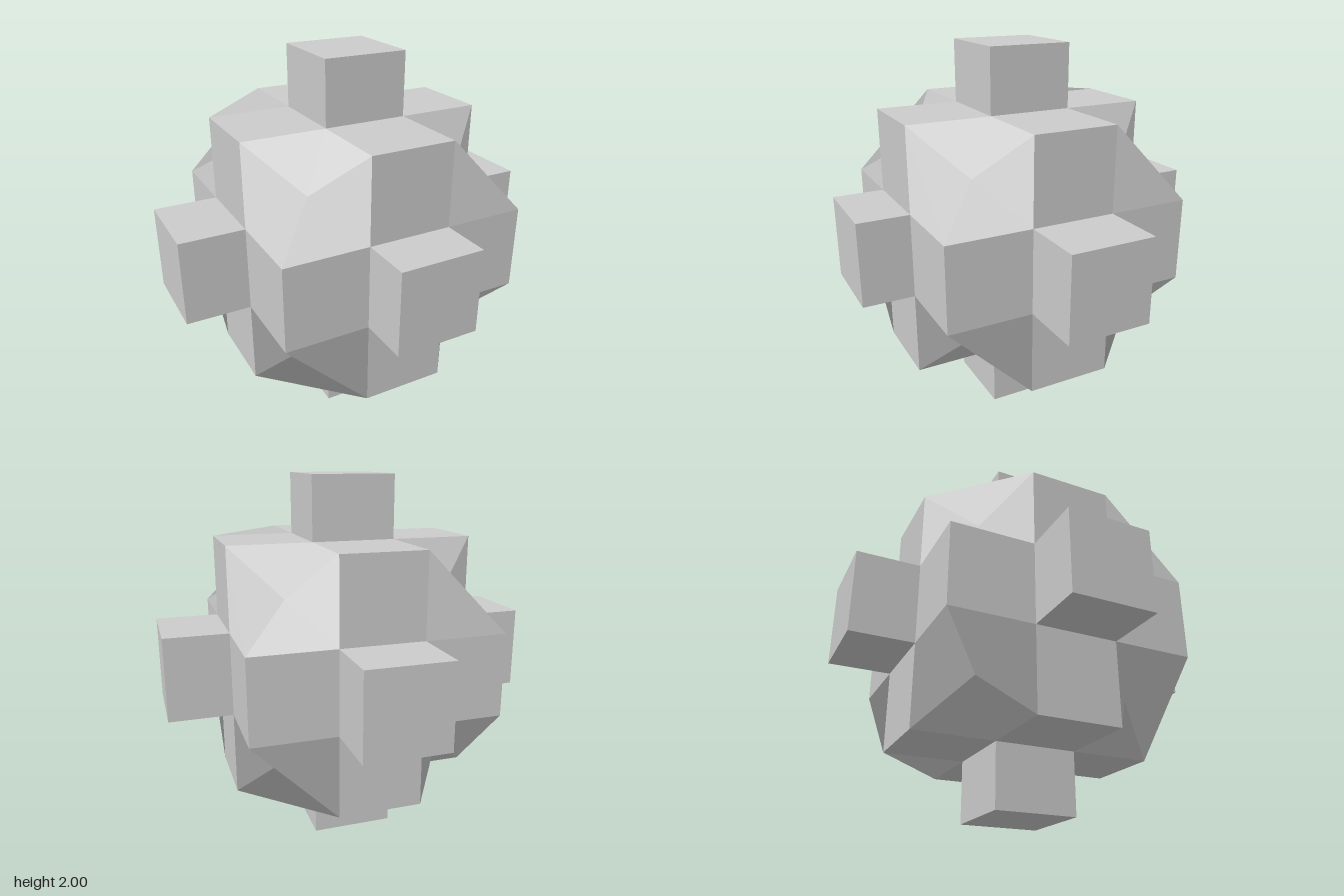
import * as THREE from 'three';

const h = 0.222;            // half width of one cell
const H = 0.665;            // half width of the 3 x 3 x 3 body
const DENT = h + 0.45 * (H - h); // height of each corner's sunken tip
const CENTRE = new THREE.Vector3(0, 1, 0.033);
const material = new THREE.MeshStandardMaterial({ color: 0xcccccc });

function mesh(name, geometry) {
  const m = new THREE.Mesh(geometry, material);
  m.name = name;
  return m;
}

// Plus-shaped face of the body
function crossPanel() {
  const pts = [];
  for (let i = 0; i < 4; i++) {
    for (const [x, y] of [[H, -h], [H, h], [h, h]]) {
      pts.push(new THREE.Vector2(x, y).rotateAround(new THREE.Vector2(), i * Math.PI / 2));
    }
  }
  return new THREE.ShapeGeometry(new THREE.Shape(pts)).translate(0, 0, H);
}

// One side: plus-shaped panel with a square arm standing on it
function side(name, dir, armLength) {
  const g = new THREE.Group();
  g.name = name + 'Side';
  const arm = new THREE.BoxGeometry(2 * h, 2 * h, armLength).translate(0, 0, H + armLength / 2);
  g.add(mesh(name + 'Panel', crossPanel()), mesh(name + 'Arm', arm));
  g.quaternion.setFromUnitVectors(new THREE.Vector3(0, 0, 1), new THREE.Vector3(...dir));
  return g;
}

// Dented corner: three bent four-sided faces meeting at a sunken tip,
// each shaded evenly with one normal
function cornerGeometry(signs) {
  const parity = signs[0] * signs[1] * signs[2];
  const pos = [], nor = [];
  const at = (axis, b, c) => {
    const p = [];
    p[axis] = H;
    p[(axis + 1) % 3] = b;
    p[(axis + 2) % 3] = c;
    return new THREE.Vector3(...p.map((v, i) => v * signs[i]));
  };
  const tip = new THREE.Vector3(...signs).multiplyScalar(DENT);
  for (let axis = 0; axis < 3; axis++) {
    const inner = at(axis, h, h), p = at(axis, H, h), q = at(axis, h, H);
    const n = tip.clone().sub(inner).cross(q.clone().sub(p)).multiplyScalar(parity).normalize();
    // the fold runs either across the face or from its inner corner to the tip
    const across = axis === 0 ? parity < 0 : parity > 0;
    const tris = across ? [[inner, p, q], [p, tip, q]] : [[inner, p, tip], [inner, tip, q]];
    for (const [a, b, c] of tris) {
      for (const v of parity > 0 ? [a, b, c] : [a, c, b]) {
        pos.push(v.x, v.y, v.z);
        nor.push(n.x, n.y, n.z);
      }
    }
  }
  const g = new THREE.BufferGeometry();
  g.setAttribute('position', new THREE.Float32BufferAttribute(pos, 3));
  g.setAttribute('normal', new THREE.Float32BufferAttribute(nor, 3));
  return g;
}

export function createModel() {
  const model = new THREE.Group();
  model.name = 'steppedCubeBall';
  const body = new THREE.Group();
  body.name = 'body';
  body.position.copy(CENTRE);
  model.add(body);

  // Six sides; the front arm is shorter
  body.add(
    side('left', [1, 0, 0], 0.335),
    side('right', [-1, 0, 0], 0.335),
    side('top', [0, 1, 0], 0.335),
    side('bottom', [0, -1, 0], 0.335),
    side('front', [0, 0, 1], 0.27),
    side('back', [0, 0, -1], 0.335),
  );

  // Eight dented corners
  for (const x of [1, -1]) for (const y of [1, -1]) for (const z of [1, -1]) {
    const name = (y > 0 ? 'top' : 'bottom') + (z > 0 ? 'Front' : 'Back') + (x > 0 ? 'Left' : 'Right') + 'Corner';
    body.add(mesh(name, cornerGeometry([x, y, z])));
  }
  return model;
}
